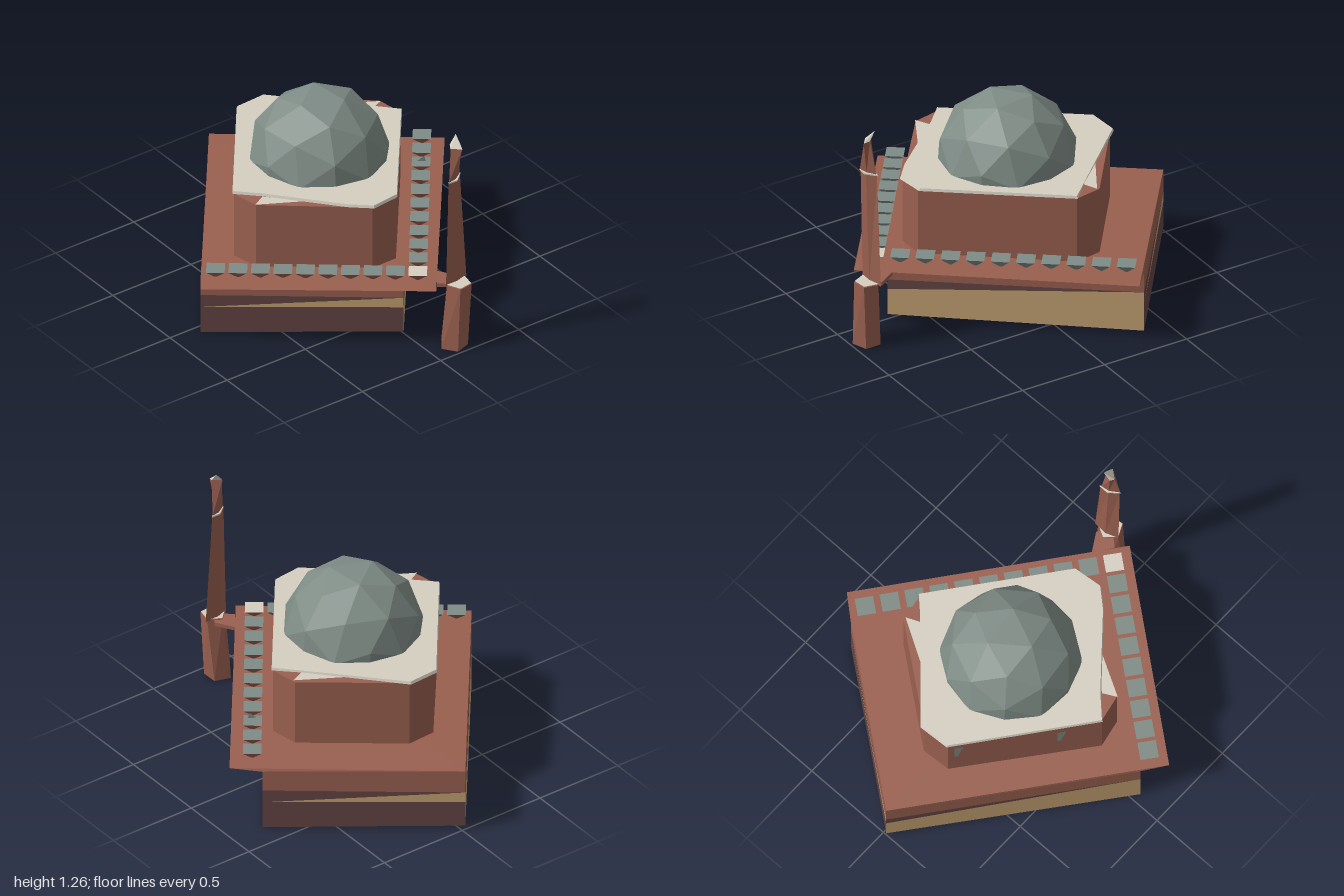
import * as THREE from 'three';

const mat = (name, color, side = THREE.FrontSide) => {
  const m = new THREE.MeshStandardMaterial({ color, side });
  m.name = name;
  return m;
};

// flat-shaded geometry from convex polygons, each listed anticlockwise
function faces(polys) {
  const pos = [];
  for (const p of polys)
    for (let i = 1; i < p.length - 1; i++) pos.push(...p[0], ...p[i], ...p[i + 1]);
  const g = new THREE.BufferGeometry();
  g.setAttribute('position', new THREE.Float32BufferAttribute(pos, 3));
  g.computeVertexNormals();
  return g;
}

// polygons joining rings that run left, front, right, back
const sides = (lo, hi) => lo.map((p, i) => {
  const j = (i + 1) % lo.length;
  return [p, lo[j], hi[j], hi[i]];
});
const loft = (lo, hi) => faces([...sides(lo, hi), hi, [...lo].reverse()]);
const ring = (pts, y) => pts.map(([x, z]) => [x, y, z]);

export function createModel() {
  const root = new THREE.Group();
  const clay = mat('clay red', 0x9a6050);
  const sand = mat('sand', 0xc4a272);
  const brown = mat('dark brown', 0x644544);
  const slate = mat('slate green', 0x7f8c86);
  const stone = mat('pale stone', 0xd6d0c2);
  const stoneSheet = mat('pale stone sheet', 0xd6d0c2, THREE.DoubleSide);
  const slateSheet = mat('slate green sheet', 0x7f8c86, THREE.DoubleSide);
  const add = (name, geo, m, parent = root) => {
    const mesh = new THREE.Mesh(geo, m);
    mesh.name = name;
    parent.add(mesh);
    return mesh;
  };

  // banded base walls
  const plan = [[-1, 0.02], [0.05, 0.84], [0.69, 0.01], [-0.36, -0.81]];
  const at = (i, y) => [plan[i % 4][0], y, plan[i % 4][1]];
  const wallTop = 0.345, band = 0.228;
  const red = [], tan = [], dark = [];
  for (let i = 0; i < 4; i++) {
    const a = y => at(i, y), b = y => at(i + 1, y);
    red.push([a(band), b(band), b(wallTop), a(wallTop)]);
    if (i % 2 === 0) {            // long walls
      dark.push([a(0.172), b(band), a(band)]);
      tan.push([a(0.022), b(0), b(band), a(0.172)]);
    } else {                      // short walls
      dark.push([a(0.155), b(band), a(band)], [a(0), b(0.022), b(0.17), a(0.155)]);
      tan.push([a(0.155), b(0.17), b(band)]);
    }
  }
  // underside folded along its front-to-back ridge
  dark.push([at(0, 0.022), at(3, 0), at(1, 0)], [at(1, 0), at(3, 0), at(2, 0.022)]);
  add('baseUpperWalls', faces(red), clay);
  add('baseSandBand', faces(tan), sand);
  add('baseDarkBand', faces(dark), brown);

  // terrace roof, overhanging two sides
  const eaves = [[-1, 0.36, 0.02], [0.17, 0.36, 0.93], [0.92, 0.372, -0.03], [-0.25, 0.36, -0.94]];
  const rim = sides(ring(plan, wallTop), eaves);
  add('terrace', faces([eaves, rim[0], rim[3]]), clay);
  add('eavesUnderside', faces([rim[1], rim[2]]), stone);

  // parapet blocks, tapering downward
  const h = 0.048, top = ring([[-h, -h], [-h, h], [h, h], [h, -h]], 0.43);
  const foot = ring([[-0.006, -0.006], [-0.006, 0.006], [0.006, 0.006], [0.006, -0.006]], 0.38);
  const flank = sides(foot, top);
  const blockTop = faces([top, flank[1], flank[3]]);
  const blockSides = faces([flank[0], flank[2]]);
  const block = (x, z, m) => {
    const g = new THREE.Group();
    g.name = 'parapetBlock';
    g.position.set(x, 0, z);
    g.rotation.y = -0.66;
    add('blockTop', blockTop, m, g);
    add('blockSides', blockSides, clay, g);
    root.add(g);
  };
  const cx = 0.78, cz = -0.015;
  block(cx, cz, stone);
  for (let i = 1; i <= 9; i++) block(cx - 0.0712 * i, cz + 0.0917 * i, slate);
  for (let i = 1; i <= 10; i++) block(cx - 0.104 * i, cz - 0.0786 * i, slate);
  add('parapetChip', faces([[[-0.055, 0.44, -0.62], [-0.03, 0.44, -0.66], [-0.035, 0.47, -0.65]]]), slateSheet);

  // eight-sided hall
  const hall = [[-0.625, -0.06], [-0.615, 0.1], [0.015, 0.6], [0.165, 0.57],
    [0.54, 0.1], [0.54, -0.05], [-0.11, -0.555], [-0.265, -0.53]];
  add('hallWalls', loft(ring(hall, 0.36), ring(hall, 0.738)), clay);
  const slab = [[-0.645, -0.065], [-0.635, 0.11], [0.012, 0.61], [0.12, 0.5],
    [0.47, 0.2], [0.557, 0.1], [0.54, -0.06], [-0.11, -0.565], [-0.23, -0.44]];
  // bevelled slab, thinner at its lower rim
  add('roofSlab', loft(ring(slab, 0.742), ring(slab.map(([x, z]) => [x * 0.99, z * 0.99]), 0.757)), stone);
  add('roofSlivers', faces([
    [[0.125, 0.742, 0.5], [0.165, 0.742, 0.575], [0.3, 0.742, 0.33]],
    [[-0.215, 0.742, -0.45], [-0.25, 0.742, -0.53], [-0.39, 0.742, -0.29]]]), stoneSheet);

  // slit windows
  const slit = (p, q, t) => {
    const dx = q[0] - p[0], dz = q[1] - p[1], len = Math.hypot(dx, dz);
    const pt = (s, y) => [
      p[0] + dx * t + (dx * s - dz * 0.004) / len, y,
      p[1] + dz * t + (dz * s + dx * 0.004) / len];
    add('slitWindow', faces([[pt(-0.022, 0.54), pt(-0.005, 0.54), pt(0.024, 0.668), pt(-0.022, 0.66)]]), slateSheet);
  };
  slit(hall[1], hall[2], 0.07);
  slit(hall[1], hall[2], 0.74);
  slit(hall[4], hall[3], 0.38);

  // faceted dome with a facet facing up
  const dome = add('dome', new THREE.IcosahedronGeometry(0.372, 1), slate);
  dome.quaternion.setFromUnitVectors(new THREE.Vector3(1, 1, 1).normalize(), new THREE.Vector3(0, 1, 0));
  dome.position.set(-0.04, 0.743, 0.015);
  dome.geometry.computeVertexNormals();

  // tower: pedestal, blade-like shaft, collar, twisted head and cap
  const tower = new THREE.Group();
  tower.name = 'tower';
  root.add(tower);
  const poly = (x, z, r, turn) => Array.from({ length: 5 }, (_, i) => {
    const a = turn - i * Math.PI * 0.4;
    return [x + r * Math.cos(a), z + r * Math.sin(a)];
  });
  add('pedestal', loft(ring(poly(0.912, -0.145, 0.076, 0.3), 0), ring(poly(0.925, -0.17, 0.068, 0.5), 0.375)), clay, tower);
  add('bridge', loft(ring([[0.76, -0.15], [0.86, -0.08], [0.93, -0.16], [0.86, -0.21]], 0.35),
    ring([[0.76, -0.15], [0.86, -0.08], [0.93, -0.16], [0.86, -0.21]], 0.371)), clay, tower);
  add('pedestalCap', faces([ring(poly(0.925, -0.17, 0.066, 0.5), 0.38)]), stoneSheet, tower);
  add('shaft', loft(
    ring([[0.884, -0.17], [0.91, -0.1], [0.912, -0.17], [0.89, -0.245]], 0.37),
    ring([[0.893, -0.155], [0.925, -0.105], [0.925, -0.155], [0.888, -0.205]], 1.01)), clay, tower);
  add('collar', loft(
    ring([[0.885, -0.155], [0.93, -0.1], [0.935, -0.155], [0.885, -0.21]], 1.008),
    ring([[0.885, -0.155], [0.93, -0.1], [0.935, -0.155], [0.885, -0.21]], 1.016)), stone, tower);
  const headTop = [[0.887, 1.215, -0.14], [0.912, 1.205, -0.128], [0.95, 1.205, -0.175], [0.92, 1.215, -0.186]];
  add('head', loft(ring([[0.897, -0.155], [0.93, -0.105], [0.92, -0.155], [0.89, -0.2]], 1.016), headTop), clay, tower);
  const tip = [0.885, 1.265, -0.18];
  add('headCap', faces(headTop.map((p, i) => [p, headTop[(i + 1) % 4], tip])), stoneSheet, tower);

  return root;
}
